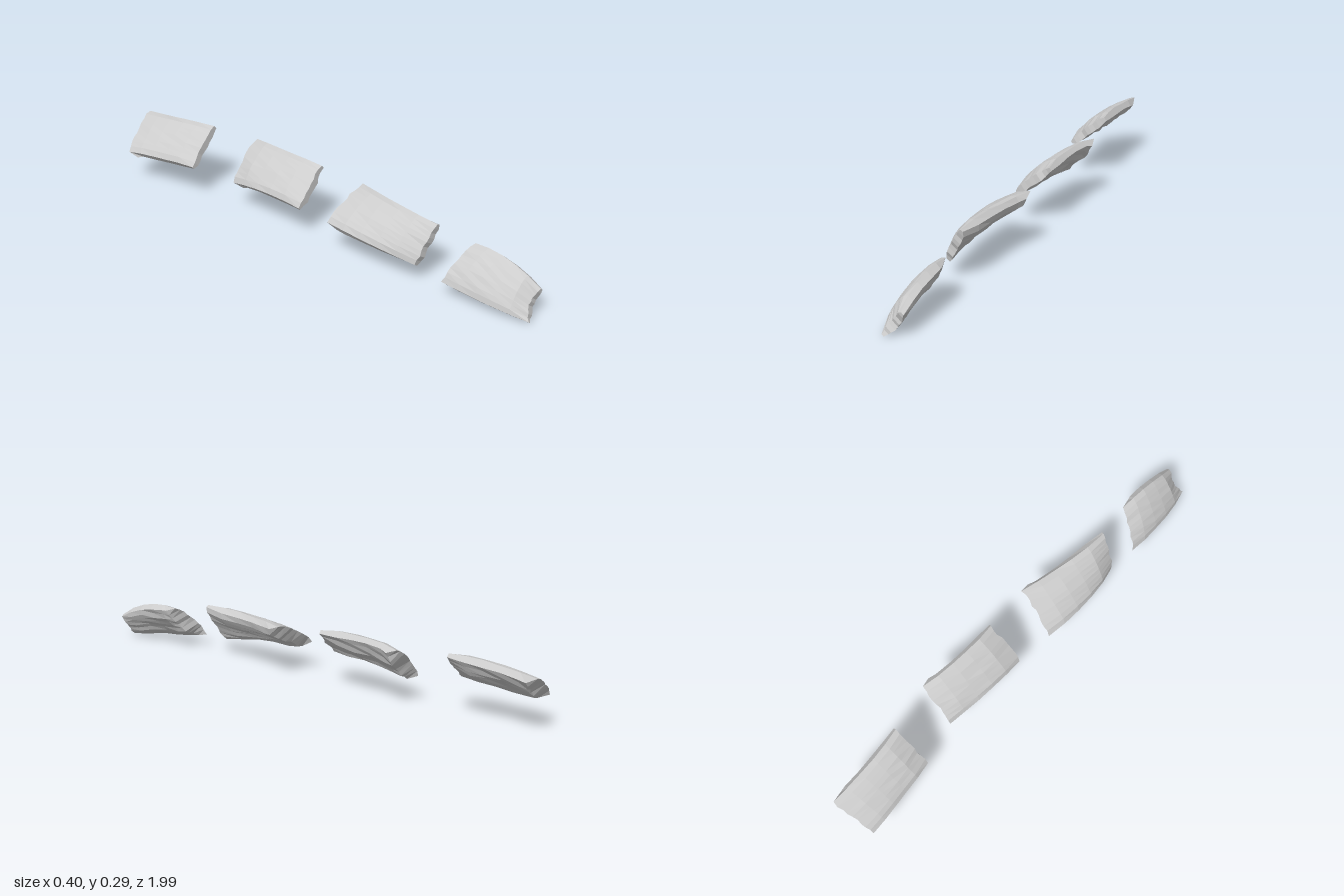
import * as THREE from 'three';

// Small seeded noise in the range -1..1
function makeNoise(seed) {
  let s = seed;
  return () => {
    s = (s * 16807) % 2147483647;
    return (s / 2147483647) * 2 - 1;
  };
}

const U = 9; // steps across a slab
const V = 5; // steps along a slab

// Curve through three values at v = 0, 0.5 and 1
const blend = (a, b, c, v) =>
  a * (2 * v - 1) * (v - 1) + b * 4 * v * (1 - v) + c * v * (2 * v - 1);

// Bark slab: smooth outer face, ridged inner face, undercut rear end, thin front end.
// Each section holds its lower edge (x, y, z) and its upper edge (x, y, z).
function slabGeometry({ sections, thick, seed, notch = 0 }) {
  const noise = makeNoise(seed);
  const [s0, s1, s2] = sections;
  const ridge = Array.from({ length: U + 1 }, () => noise() * 0.006);
  const ring = 2 * (U + 1);
  const pos = [];
  const idx = [];

  for (let j = 0; j <= V; j++) {
    const v = j / V;
    const e = s0.map((_, k) => blend(s0[k], s1[k], s2[k], v));
    const dx = e[3] - e[0], dy = e[4] - e[1];
    const len = Math.hypot(dx, dy);
    const nx = -dy / len, ny = dx / len;
    const rear = j === 0, front = j === V;
    const taper = front ? 0.55 : rear ? 0.85 : 1;
    const outer = [], inner = [];
    for (let i = 0; i <= U; i++) {
      const u = i / U;
      const half = (thick / 2) * taper * (0.4 + 0.6 * Math.sqrt(Math.sin(Math.PI * u)));
      const z = e[2] + (e[5] - e[2]) * u + (rear || front ? noise() * 0.005 : 0)
        - (front ? notch * Math.sin(Math.PI * u) : 0);
      const x = e[0] + dx * u, y = e[1] + dy * u;
      const o = half + noise() * 0.002;
      const n = half + (ridge[i] + noise() * 0.004) * taper;
      outer.push([x + nx * o, y + ny * o, z]);
      inner.push([x - nx * n, y - ny * n, z + (rear ? 0.04 : 0)]);
    }
    [...outer, ...inner.reverse()].forEach((p) => pos.push(...p));
  }

  // Skin between neighbouring sections
  for (let j = 0; j < V; j++) {
    for (let i = 0; i < ring; i++) {
      const a = j * ring + i, b = j * ring + ((i + 1) % ring);
      idx.push(a, a + ring, b, b, a + ring, b + ring);
    }
  }
  // Broken ends
  for (let i = 0; i < U; i++) {
    const k = ring - 1 - i;
    const f = V * ring;
    idx.push(i, i + 1, k, i + 1, k - 1, k);
    idx.push(f + i, f + k, f + i + 1, f + i + 1, f + k, f + k - 1);
  }

  const geo = new THREE.BufferGeometry();
  geo.setAttribute('position', new THREE.Float32BufferAttribute(pos, 3));
  geo.setIndex(idx);
  const flat = geo.toNonIndexed();
  flat.computeVertexNormals();
  return flat;
}

const slabs = {
  rearSlab: {
    thick: 0.058, seed: 110371,
    sections: [
      [-0.193, 0.137, -0.945, -0.028, 0.262, -0.995],
      [-0.162, 0.154, -0.78, -0.008, 0.281, -0.81],
      [-0.122, 0.158, -0.612, 0.028, 0.292, -0.635],
    ],
  },
  middleRearSlab: {
    thick: 0.062, seed: 230717,
    sections: [
      [-0.047, 0.122, -0.435, 0.1, 0.272, -0.445],
      [-0.05, 0.147, -0.25, 0.094, 0.281, -0.26],
      [-0.037, 0.14, -0.055, 0.116, 0.27, -0.08],
    ],
  },
  middleFrontSlab: {
    thick: 0.066, seed: 370919,
    sections: [
      [-0.032, 0.132, 0.103, 0.155, 0.243, 0.12],
      [-0.018, 0.117, 0.31, 0.132, 0.243, 0.315],
      [0.038, 0.082, 0.51, 0.128, 0.238, 0.535],
    ],
  },
  frontSlab: {
    thick: 0.06, seed: 530251, notch: 0.02,
    sections: [
      [0.045, 0.057, 0.635, 0.175, 0.195, 0.69],
      [0.068, 0.036, 0.82, 0.187, 0.182, 0.84],
      [0.12, 0.006, 0.998, 0.199, 0.112, 0.99],
    ],
  },
};

export function createModel() {
  const group = new THREE.Group();
  group.name = 'barkSlabs';
  const grey = new THREE.MeshStandardMaterial({ color: 0xcccccc });
  grey.name = 'lightGrey';
  grey.flatShading = true;

  for (const [name, spec] of Object.entries(slabs)) {
    const mesh = new THREE.Mesh(slabGeometry(spec), grey);
    mesh.name = name;
    group.add(mesh);
  }

  // Stand on the ground, centred
  const box = new THREE.Box3().setFromObject(group);
  const c = box.getCenter(new THREE.Vector3());
  group.children.forEach((m) => m.position.set(-c.x, -box.min.y, -c.z));
  return group;
}
